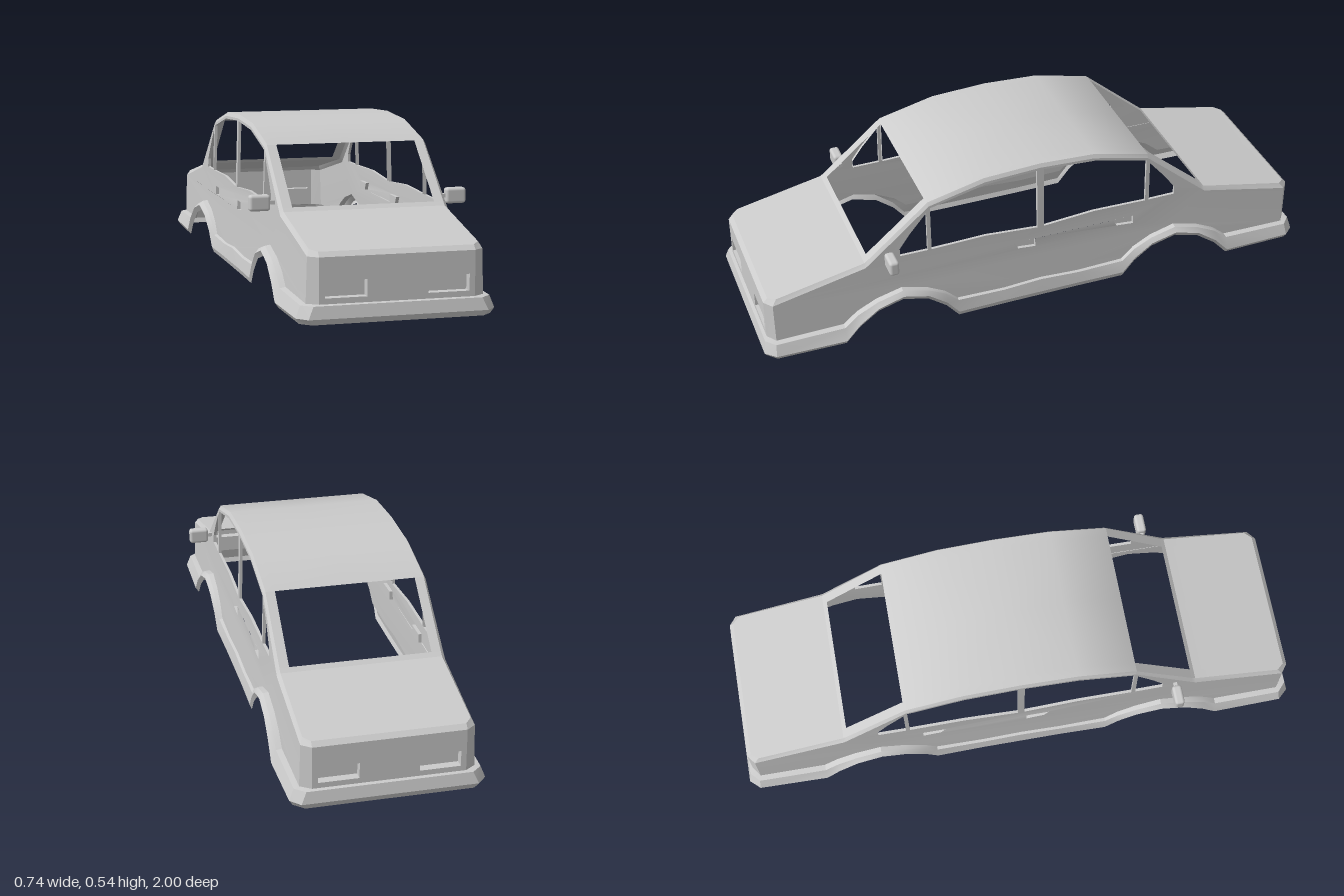
import * as THREE from 'three';
import { toCreasedNormals, mergeGeometries } from 'three/addons/utils/BufferGeometryUtils.js';
import { RoundedBoxGeometry } from 'three/addons/geometries/RoundedBoxGeometry.js';

const paint = new THREE.MeshStandardMaterial({ color: 0xcccccc, side: THREE.DoubleSide });

// Half width of the body side: leans in towards the roof and the ends
const sideX = (z, y) => 0.295 - 0.03 * y - 0.008 * z * z;

// Quads between consecutive rows of [x, y, z] points
function loft(rows, sx = 1, sz = 1) {
  const pos = [];
  const put = (...pts) => pts.forEach(p => pos.push(p[0] * sx, p[1], p[2] * sz));
  for (let i = 0; i < rows.length - 1; i++) {
    for (let j = 0; j < rows[i].length - 1; j++) {
      const a = rows[i][j], b = rows[i][j + 1], c = rows[i + 1][j + 1], d = rows[i + 1][j];
      if (sx * sz > 0) put(a, b, c, a, c, d);
      else put(a, c, b, a, d, c);
    }
  }
  const g = new THREE.BufferGeometry();
  g.setAttribute('position', new THREE.Float32BufferAttribute(pos, 3));
  return g;
}

// The same quarter surface repeated in all four corners of the car
const fourWay = rows =>
  [[1, 1], [-1, 1], [1, -1], [-1, -1]].map(([sx, sz]) => loft(rows, sx, sz));

// Flat outline with holes, placed in space by map(a, b, depth)
function panel(outline, holes, map, depth = 0) {
  const vec = pts => pts.map(p => new THREE.Vector2(...p));
  const shape = new THREE.Shape(vec(outline));
  holes.forEach(h => shape.holes.push(new THREE.Path(vec(h))));
  const g = new THREE.ShapeGeometry(shape).toNonIndexed();
  const p = g.attributes.position;
  for (let i = 0; i < p.count; i++) p.setXYZ(i, ...map(p.getX(i), p.getY(i), depth));
  g.deleteAttribute('uv');
  g.deleteAttribute('normal');
  return g;
}

// Walls running inwards from the edge of a hole
function reveal(hole, map, depth) {
  const ring = THREE.ShapeUtils.isClockWise(hole.map(p => new THREE.Vector2(...p))) ? [...hole].reverse() : [...hole];
  ring.push(ring[0]);
  return loft([ring.map(p => map(...p, 0)), ring.map(p => map(...p, depth))]);
}

const pocket = (hole, map, depth) => [reveal(hole, map, depth), panel(hole, [], map, depth)];

function add(parent, name, geometries) {
  const merged = mergeGeometries([geometries].flat());
  const mesh = new THREE.Mesh(toCreasedNormals(merged, 0.45), paint);
  mesh.name = name;
  parent.add(mesh);
  return mesh;
}

// Centre line from the middle of the roof to the nose: [z, y]
const PROFILE = [[0, 0.543], [0.2, 0.533], [0.4, 0.485], [0.405, 0.481], [0.615, 0.303], [0.63, 0.291], [0.94, 0.225], [0.965, 0.22]];

// Skirt stations from mid sill to the bumper corner: [z, outer x, top y, bottom y]
const SKIRT = [
  [0, 0.31, 0.07, 0], [0.14, 0.31, 0.062, 0], [0.31, 0.313, 0.066, 0],
  [0.355, 0.315, 0.108, 0.055], [0.42, 0.318, 0.142, 0.105], [0.51, 0.32, 0.166, 0.13],
  [0.6, 0.322, 0.142, 0.105], [0.67, 0.324, 0.108, 0.055], [0.72, 0.325, 0.066, 0],
  [0.965, 0.32, 0.06, 0],
];

const mirrorEnds = half => [...half, ...half.filter(p => p[0] !== 0).reverse().map(([a, b]) => [-a, b])];

export function createModel() {
  const car = new THREE.Group();
  car.name = 'carBody';

  // Roof, screen posts and the two lids; the screens stay open
  const column = (pts, x) => pts.map(([z, y]) => [z === 0.965 ? Math.min(x, 0.25) : x, y, z]);
  const sheet = (from, to, xs) => {
    const pts = PROFILE.slice(from, to);
    return fourWay(xs.map(x => column(pts, x)));
  };
  add(car, 'roof', sheet(0, 4, [0, 0.24, 0.272]));
  add(car, 'screenPosts', sheet(3, 5, [0.24, 0.272]));
  add(car, 'bonnetAndBootLid', sheet(4, 8, [0, 0.24, 0.272]));

  // Bevelled rim between the top and the sides
  const corner = [sideX(0.955, 0.205), 0.205, 0.955];
  const rimIn = [...column(PROFILE, 0.272), [0, 0.22, 0.965]];
  const rimOut = [
    ...PROFILE.slice(0, 6).map(([z, y]) => [sideX(z, y - 0.013), y - 0.013, z]),
    corner, [0.25, 0.205, 0.98], [0, 0.205, 0.98],
  ];
  add(car, 'roofRim', fourWay([rimIn, rimOut]));

  // Side panels with door and quarter windows and sunk handles
  const topEdge = [...PROFILE.slice(0, 6).map(([z, y]) => [z, y - 0.013]), [0.955, 0.205]];
  const lowEdge = [...SKIRT.slice(0, -1).map(s => [s[0], s[2]]), [0.955, 0.06]];
  const chain = half => [...half.slice(1).reverse().map(([a, b]) => [-a, b]), ...half];
  const sideOutline = [...chain(lowEdge), ...chain(topEdge).reverse()];
  const doorWindow = [[0.012, 0.287], [0.2, 0.301], [0.396, 0.296], [0.396, 0.464], [0.2, 0.51], [0.012, 0.521]];
  const quarterWindow = [[0.41, 0.296], [0.508, 0.296], [0.508, 0.325], [0.47, 0.378], [0.41, 0.448]];
  const handle = [[0.02, 0.21], [0.083, 0.216], [0.1, 0.242], [0.02, 0.242]];
  const rearHandle = handle.map(([z, y]) => [z - 0.372, y]);
  const flip = pts => pts.map(([a, b]) => [-a, b]);
  const windows = [doorWindow, quarterWindow, flip(doorWindow), flip(quarterWindow)];

  for (const [s, label] of [[1, 'left'], [-1, 'right']]) {
    const map = (a, y, d) => [s * (sideX(a, y) - d), y, -s * a];
    const handles = [handle, rearHandle].map(h => h.map(([z, y]) => [-s * z, y]));
    add(car, label + 'SidePanel', panel(sideOutline, [...windows, ...handles], map));
    add(car, label + 'WindowFrames', windows.map(w => reveal(w, map, 0.01)));
    add(car, label + 'DoorHandles', handles.flatMap(h => pocket(h, map, 0.012)));
  }

  // Nose and tail faces with sunk lamp pockets
  const lamp = [[0.098, 0.078], [0.232, 0.078], [0.232, 0.131], [0.098, 0.131]];
  const lamps = [lamp, flip(lamp)];
  const face = [[-0.25, 0.06], [0.25, 0.06], [0.25, 0.205], [-0.25, 0.205]];
  for (const [s, label] of [[1, 'front'], [-1, 'rear']]) {
    const map = (x, y, d) => [s * x, y, s * (0.98 - d)];
    add(car, label + 'Panel', panel(face, lamps, map));
    add(car, label + 'LampPockets', lamps.flatMap(l => pocket(l, map, 0.03)));
  }

  // Chamfered body corners
  add(car, 'bodyCorners', fourWay([
    [corner, [0.25, 0.205, 0.98]],
    [[sideX(0.955, 0.06), 0.06, 0.955], [0.25, 0.06, 0.98]],
  ]));

  // Sill, wheel arch flares and bumpers in one continuous band
  const stations = SKIRT.map(([z, x, top, low]) => {
    const bz = Math.min(z, 0.955);
    return { body: [sideX(bz, top), bz], out: [x, z], top, low };
  });
  stations.push({ body: [0.25, 0.98], out: [0.288, 1], top: 0.06, low: 0 });
  stations.push({ body: [0, 0.98], out: [0, 1], top: 0.06, low: 0 });
  const ring = (t, height) => stations.map(({ body, out, top, low }) => [
    body[0] + (out[0] - body[0]) * t,
    height(top, low),
    body[1] + (out[1] - body[1]) * t,
  ]);
  add(car, 'skirtAndBumpers', fourWay([
    ring(0, top => top),
    ring(0.55, top => top - 0.003),
    ring(1, (top, low) => low + 0.018),
    ring(0.65, (top, low) => low),
  ]));

  // Door mirrors on short stems
  for (const [s, label] of [[1, 'left'], [-1, 'right']]) {
    const mirror = new THREE.Group();
    mirror.name = label + 'Mirror';
    const housing = new THREE.Mesh(new RoundedBoxGeometry(0.07, 0.053, 0.034, 2, 0.01), paint);
    housing.name = 'mirrorHousing';
    housing.position.set(s * 0.334, 0.312, 0.552);
    const stem = new THREE.Mesh(new THREE.BoxGeometry(0.025, 0.013, 0.013), paint);
    stem.name = 'mirrorStem';
    stem.position.set(s * 0.29, 0.312, 0.552);
    mirror.add(housing, stem);
    car.add(mirror);
  }

  return car;
}
